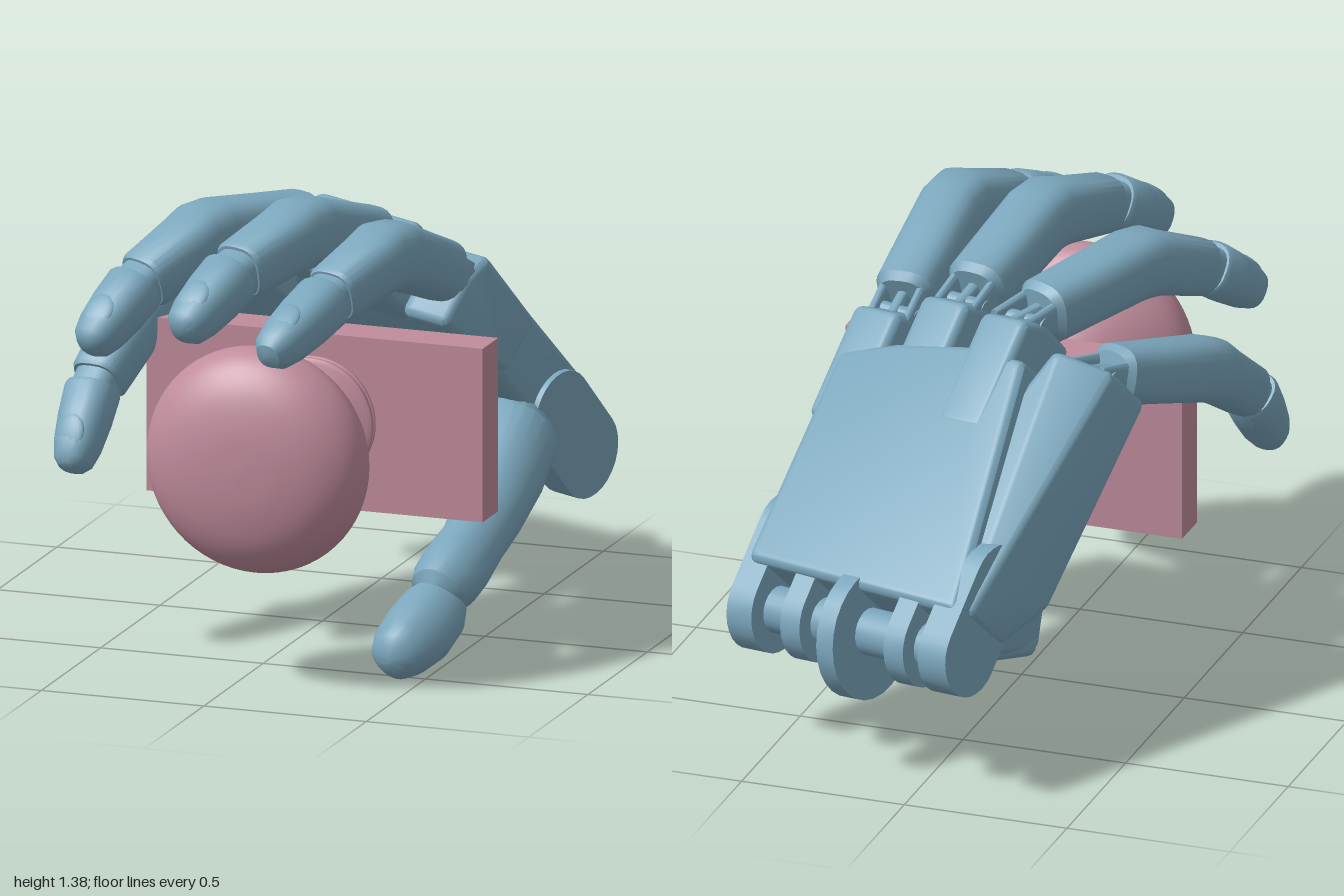
import * as THREE from 'three';
import { toCreasedNormals } from 'three/addons/utils/BufferGeometryUtils.js';
import { ConvexGeometry } from 'three/addons/geometries/ConvexGeometry.js';

const V = (x, y, z) => new THREE.Vector3(x, y, z);
const blue = new THREE.MeshStandardMaterial({ color: 0x7ba6bc });
const pink = new THREE.MeshStandardMaterial({ color: 0xc08c9c });

function mesh(name, geometry, material = blue, crease = 0.6) {
  const m = new THREE.Mesh(toCreasedNormals(geometry, crease), material);
  m.name = name;
  return m;
}

// Rounded-square tube through stations [point, halfWidth, halfHeight]
function limb(name, stations, sideHint, n = 24, power = 0.7) {
  const pos = [], idx = [], last = stations.length - 1;
  const soft = (v) => Math.sign(v) * Math.abs(v) ** power;
  stations.forEach(([p, w, h], i) => {
    const t = stations[Math.min(i + 1, last)][0].clone().sub(stations[Math.max(i - 1, 0)][0]).normalize();
    const s = sideHint.clone().addScaledVector(t, -t.dot(sideHint)).normalize();
    const u = t.clone().cross(s);
    for (let j = 0; j < n; j++) {
      const a = (j / n) * Math.PI * 2;
      const q = p.clone().addScaledVector(s, soft(Math.cos(a)) * w).addScaledVector(u, soft(Math.sin(a)) * h);
      pos.push(q.x, q.y, q.z);
    }
  });
  const ends = (last + 1) * n;
  pos.push(...stations[0][0].toArray(), ...stations[last][0].toArray());
  for (let j = 0; j < n; j++) {
    const k = (j + 1) % n;
    for (let i = 0; i < last; i++) {
      const a = i * n + j, b = i * n + k;
      idx.push(a, b, b + n, a, b + n, a + n);
    }
    idx.push(ends, k, j, ends + 1, last * n + j, last * n + k);
  }
  const g = new THREE.BufferGeometry();
  g.setAttribute('position', new THREE.Float32BufferAttribute(pos, 3));
  g.setIndex(idx);
  return mesh(name, g);
}

// Convex block with rounded corners around the given points
function hull(name, corners, r = 0.03) {
  const ball = new THREE.IcosahedronGeometry(r, 1).attributes.position;
  const pts = [];
  for (const c of corners)
    for (let i = 0; i < ball.count; i++) pts.push(new THREE.Vector3().fromBufferAttribute(ball, i).add(c));
  return mesh(name, new ConvexGeometry(pts));
}

// Hand directions: towards the wrist, out of the back of the hand, across
const toWrist = V(0.15, -0.72, -0.68).normalize();
const back = V(0.26, 0.69, -0.67).normalize();
const across = back.clone().cross(toWrist).normalize();
if (across.x < 0) across.negate();

// Flat oval plate set into the upper side of a fingertip
function nail(p, dir, side, w) {
  const t = dir.clone().normalize();
  const s = side.clone().addScaledVector(t, -t.dot(side)).normalize();
  const m = mesh('nail', new THREE.SphereGeometry(1, 20, 12), blue, 1);
  m.scale.set(w, w * 0.3, w * 1.3);
  m.quaternion.setFromRotationMatrix(new THREE.Matrix4().makeBasis(s, t.clone().cross(s), t));
  m.position.copy(p);
  return m;
}

function finger(name, [base, pip, dip, tip], r) {
  const g = new THREE.Group();
  g.name = name;
  const side = V(1, 0, 0.25).normalize();
  const st = (a, b, f, w, h = w) => [a.clone().lerp(b, f), w * r, h * r];
  // long bent section
  g.add(limb('fingerBody', [
    st(base, pip, 0.13, 0.75), st(base, pip, 0.18, 0.95), st(base, pip, 0.5, 0.98),
    st(base, pip, 0.92, 1.0, 1.04), st(pip, dip, 0.08, 1.0, 1.04), st(pip, dip, 0.25, 0.96),
    st(pip, dip, 0.86, 0.86), st(pip, dip, 0.9, 0.78),
  ], side));
  g.add(limb('tipJoint', [st(pip, dip, 0.82, 0.72), st(dip, tip, 0.2, 0.72)], side));
  // fingertip
  g.add(limb('fingertip', [
    st(dip, tip, -0.02, 0.78), st(dip, tip, 0.04, 0.85), st(dip, tip, 0.4, 0.82), st(dip, tip, 0.75, 0.73),
    st(dip, tip, 0.95, 0.6), st(dip, tip, 1.04, 0.4), st(dip, tip, 1.07, 0.12),
  ], side, 24, 0.8));
  const t = tip.clone().sub(dip).normalize();
  const s = side.clone().addScaledVector(t, -t.dot(side)).normalize();
  const up = t.clone().cross(s);
  g.add(nail(dip.clone().lerp(tip, 0.68).addScaledVector(up, r * 0.62), t.clone().addScaledVector(up, -0.22), side, r * 0.5));
  // knuckle fork and pin
  for (const k of [-1, 1]) {
    const o = side.clone().multiplyScalar(k * r * 0.62);
    const a = base.clone().add(o), b = pip.clone().add(o);
    g.add(limb('forkProng', [st(a, b, -0.1, 0.16, 0.45), st(a, b, 0.25, 0.16, 0.6)], side));
  }
  g.add(limb('knucklePin', [
    [base.clone().addScaledVector(side, -r * 0.8), r * 0.3, r * 0.3],
    [base.clone().addScaledVector(side, r * 0.8), r * 0.3, r * 0.3]], V(0, 1, 0), 16, 1));
  g.add(limb('knuckleLink', [st(base, pip, -0.1, 0.2, 0.35), st(base, pip, 0.25, 0.2, 0.35)], side));
  return g;
}

export function createModel() {
  const root = new THREE.Group();

  // Mounting block and door knob
  const block = mesh('mountingBlock', new THREE.BoxGeometry(1.035, 0.52, 0.13), pink);
  block.position.set(0.0825, 0.695, 0.227);
  root.add(block);
  const bell = new THREE.CatmullRomCurve3([
    [0.108, 0.36], [0.103, 0.43], [0.106, 0.49], [0.135, 0.535], [0.215, 0.615], [0.295, 0.69],
    [0.328, 0.735], [0.337, 0.785], [0.31, 0.845], [0.24, 0.898], [0.13, 0.93], [0, 0.94],
  ].map(([r, z]) => V(r, z, 0))).getPoints(60).map((p) => new THREE.Vector2(Math.max(p.x, 0), p.y));
  const flange = [[0, 0.28], [0.18, 0.28], [0.188, 0.298], [0.188, 0.306], [0.178, 0.311], [0.178, 0.316],
    [0.19, 0.322], [0.19, 0.337], [0.178, 0.344], [0.13, 0.346]].map(([r, z]) => new THREE.Vector2(r, z));
  const knob = mesh('knob', new THREE.LatheGeometry([...flange, ...bell], 64).rotateX(Math.PI / 2), pink);
  knob.position.set(0.085, 0.7, 0);
  root.add(knob);

  // Fingers: knuckle, middle joint, end joint, tip
  const fingers = {
    indexFinger: [[V(0.385, 1.09, 0), V(0.36, 1.26, 0.45), V(0.272, 1.18, 0.72), V(0.195, 1.075, 0.975)], 0.097],
    middleFinger: [[V(0.165, 1.165, -0.03), V(0.08, 1.29, 0.4), V(-0.025, 1.22, 0.7), V(-0.1, 1.1, 0.9)], 0.099],
    ringFinger: [[V(-0.05, 1.18, -0.12), V(-0.25, 1.225, 0.31), V(-0.37, 1.12, 0.56), V(-0.445, 0.985, 0.74)], 0.097],
    littleFinger: [[V(-0.29, 1.07, -0.18), V(-0.48, 0.955, 0.23), V(-0.53, 0.78, 0.48), V(-0.54, 0.585, 0.63)], 0.092],
  };
  for (const [name, [joints, r]] of Object.entries(fingers)) {
    root.add(finger(name, joints, r));
    if (name === 'littleFinger') continue;
    // knuckle end of the palm, with grooves left between neighbours
    const corners = [];
    for (const k of [-0.055, 0.055])
      for (const [d, b] of [[0.05, 0.07], [0.02, 0.0], [0.03, -0.13], [0.36, 0.08], [0.36, -0.06]])
        corners.push(joints[0].clone().addScaledVector(toWrist, d).addScaledVector(back, b).addScaledVector(across, k));
    root.add(hull('knuckle', corners));
  }

  // Palm slab between the wrist and the knuckles
  const slab = (pts, depth) => pts.flatMap((p) => [p, p.clone().addScaledVector(back, -depth)]);
  root.add(hull('palm', slab([
    V(0.565, 0.57, -0.65), V(-0.11, 0.605, -0.88), V(-0.1, 1.11, -0.31), V(0.04, 1.11, -0.26),
    V(0.3, 1.06, -0.21), V(0.47, 1.0, -0.18),
  ], 0.16)));

  // Little-finger side plate, stepped below the palm
  root.add(hull('sidePlate', slab([
    V(-0.34, 1.085, -0.24), V(-0.2, 1.12, -0.24), V(-0.02, 0.84, -0.55), V(-0.06, 0.62, -0.81),
    V(-0.15, 0.59, -0.86), V(-0.22, 0.64, -0.7),
  ], 0.17)));
  root.add(hull('sideHeel', [
    V(-0.22, 0.6, -0.7), V(-0.05, 0.6, -0.8), V(-0.23, 0.39, -0.58), V(-0.02, 0.36, -0.56),
    V(-0.15, 0.44, -0.78), V(-0.25, 0.72, -0.5), V(0.0, 0.7, -0.5),
  ]));

  // Heel under the palm
  root.add(hull('palmHeel', [
    V(-0.23, 0.42, -0.58), V(-0.23, 0.38, -0.6), V(0.36, 0.36, -0.4), V(0.36, 0.275, -0.44),
    V(0.4, 0.3, -0.62), V(-0.1, 0.4, -0.76), V(0.4, 0.46, -0.58), V(-0.1, 0.55, -0.74),
  ]));

  // Wrist hinge lobes along the axle: position, half width, radius
  const axleA = V(0.555, 0.405, -0.64), axleB = V(-0.12, 0.46, -0.88);
  for (const [f, w, r] of [[0, 0.045, 0.13], [0.26, 0.035, 0.125], [0.5, 0.03, 0.195], [0.8, 0.035, 0.125], [1, 0.05, 0.125]]) {
    const c = axleA.clone().lerp(axleB, f), pts = [];
    if (r > 0.15) c.addScaledVector(back, -0.02);
    for (const k of [-w, w])
      for (let i = 0; i < 28; i++) {
        const a = (i / 28) * Math.PI * 2;
        const p = c.clone().addScaledVector(across, k)
          .addScaledVector(toWrist, Math.cos(a) * r).addScaledVector(back, Math.sin(a) * r);
        pts.push(p);
        if (r < 0.15) pts.push(p.clone().addScaledVector(toWrist, -0.22));
      }
    root.add(mesh('wristLobe', new ConvexGeometry(pts)));
  }
  root.add(limb('wristAxle', [[axleA, 0.07, 0.07], [axleB, 0.07, 0.07]], V(0, 1, 0), 20, 1));

  // Thumb
  const thumb = new THREE.Group();
  thumb.name = 'thumb';
  const side = V(0.6, -0.8, 0);
  const path = (rows) => rows.map(([x, y, z, r]) => [V(x, y, z), r, r]);
  thumb.add(limb('thumbBody', path([
    [0.25, 0.41, -0.53, 0.07], [0.34, 0.46, -0.48, 0.11], [0.42, 0.52, -0.41, 0.13], [0.465, 0.51, -0.32, 0.13],
    [0.485, 0.43, -0.18, 0.118], [0.495, 0.365, -0.04, 0.103], [0.495, 0.315, 0.08, 0.093], [0.49, 0.275, 0.2, 0.1],
    [0.483, 0.245, 0.28, 0.098], [0.475, 0.225, 0.325, 0.083], [0.47, 0.21, 0.345, 0.05],
  ]), side, 24, 0.9));
  thumb.add(limb('thumbTip', path([
    [0.475, 0.195, 0.3, 0.08], [0.465, 0.165, 0.345, 0.1], [0.45, 0.125, 0.43, 0.104], [0.435, 0.1, 0.51, 0.092],
    [0.428, 0.085, 0.56, 0.073], [0.425, 0.078, 0.585, 0.048], [0.423, 0.075, 0.597, 0.012],
  ]), side, 24, 0.9));
  thumb.add(nail(V(0.488, 0.142, 0.5), V(-0.2, -0.36, 0.9), side, 0.055));
  root.add(thumb);

  return root;
}
